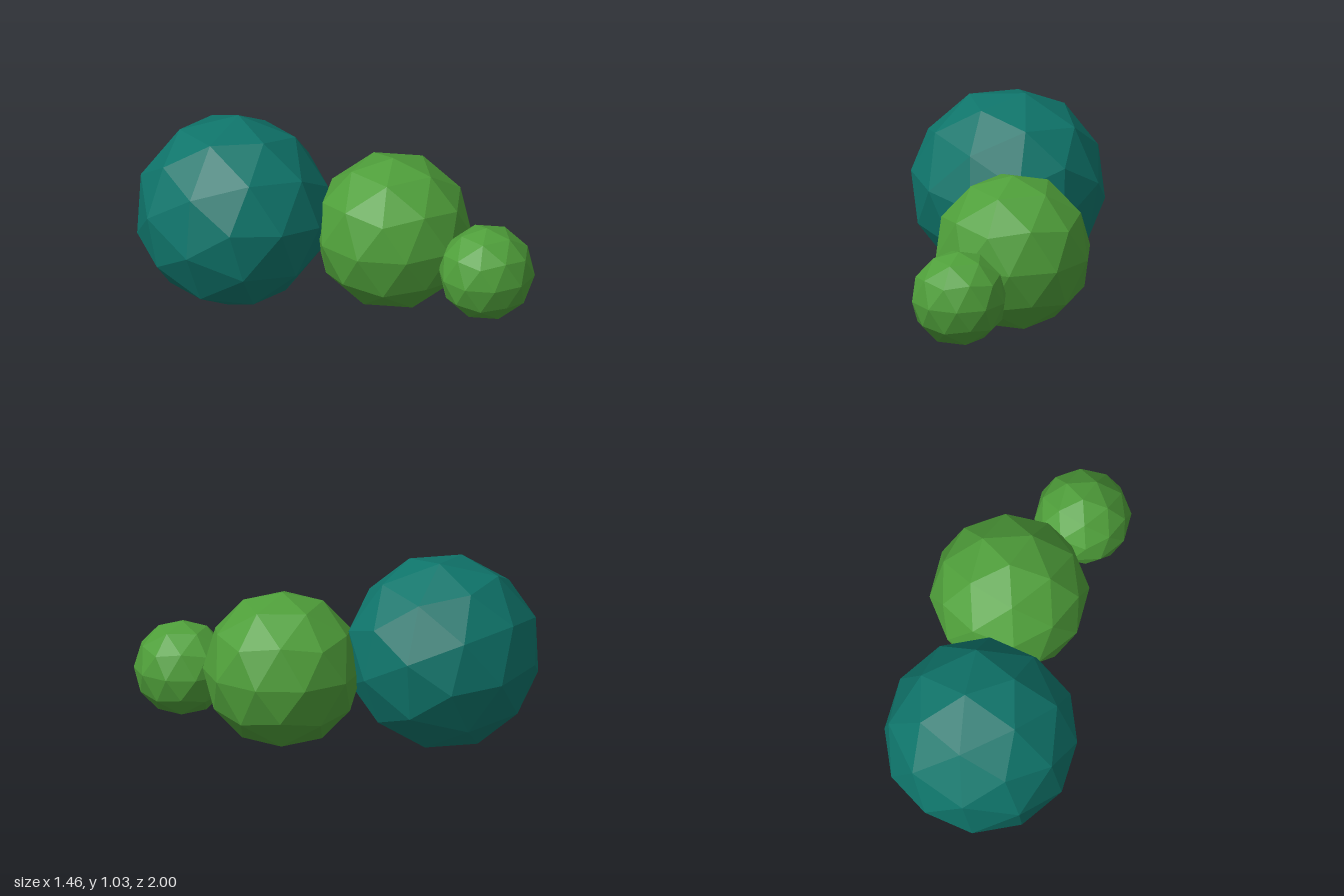
import * as THREE from 'three';

// Faceted ball of 80 triangles with one corner straight up and a ring corner toward +x
function facetedBall(name, radius, color, [x, y, z], tilt = 0) {
  const geometry = new THREE.IcosahedronGeometry(radius, 1);
  geometry.rotateX(-Math.atan((1 + Math.sqrt(5)) / 2));
  geometry.rotateY(Math.PI / 2);
  const mesh = new THREE.Mesh(geometry, new THREE.MeshStandardMaterial({ color, flatShading: true }));
  mesh.name = name;
  mesh.position.set(x, y, z);
  mesh.rotation.x = THREE.MathUtils.degToRad(tilt);
  return mesh;
}

export function createModel() {
  const group = new THREE.Group();
  group.name = 'bushCluster';
  const teal = 0x0f756b;
  const green = 0x4f9f3a;

  // Three overlapping bushes, from large at the back to small at the front
  group.add(
    facetedBall('largeBush', 0.524, teal, [-0.23, 0.516, -0.5], 26),
    facetedBall('mediumBush', 0.425, green, [0.323, 0.428, 0.15]),
    facetedBall('smallBush', 0.258, green, [0.43, 0.347, 0.742]),
  );
  return group;
}
